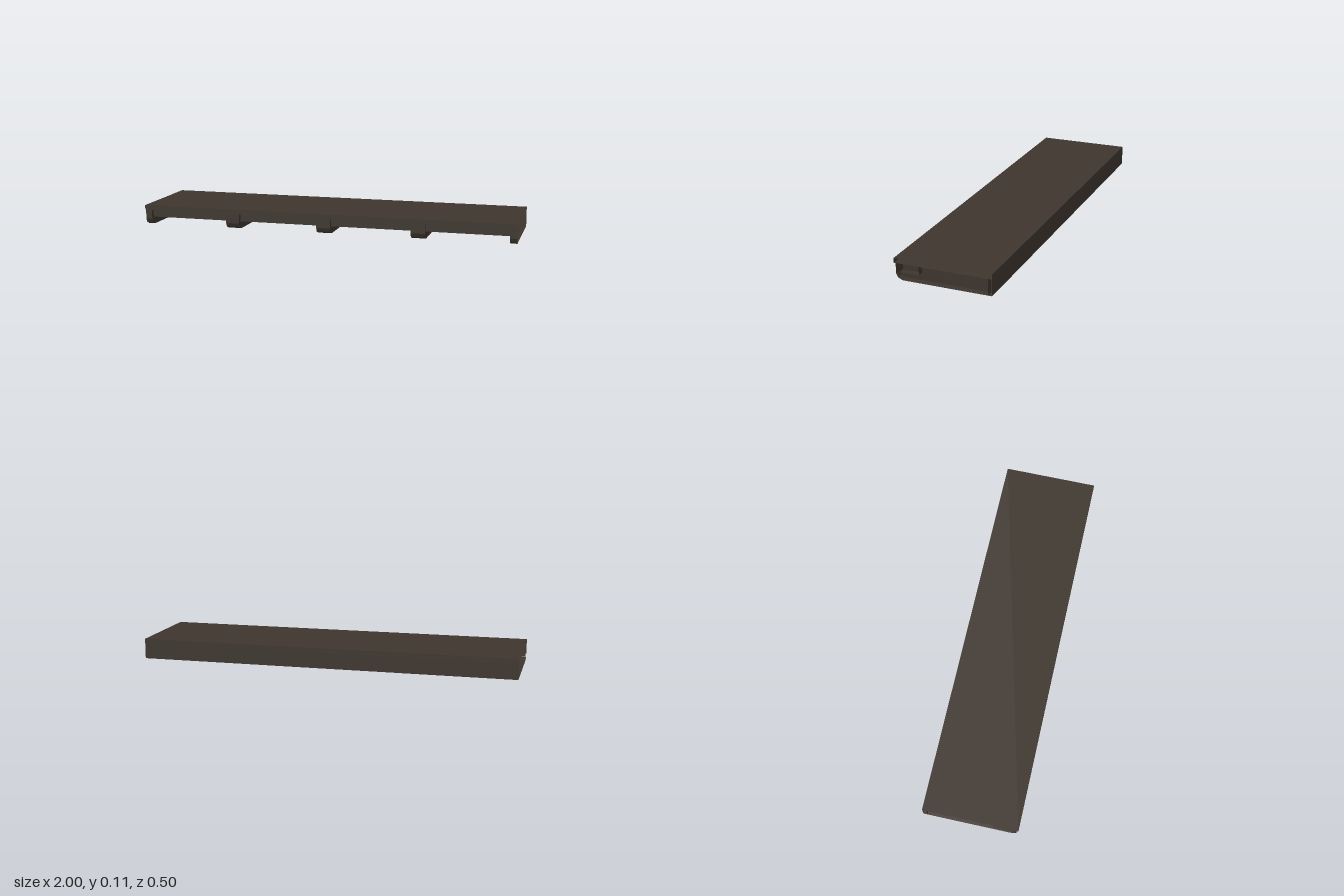
import * as THREE from 'three';

const brown = new THREE.MeshStandardMaterial({ color: 0x3d352d, side: THREE.DoubleSide });
brown.name = 'darkBrown';

// Drops the faces lying on the end planes, so the section can join its neighbour
function openEnds(geometry) {
  const geo = geometry.index ? geometry.toNonIndexed() : geometry;
  const p = geo.attributes.position;
  const n = geo.attributes.normal;
  const pos = [];
  const nor = [];
  for (let i = 0; i < p.count; i += 3) {
    const onEnd = [0, 1, 2].every((k) => Math.abs(p.getX(i + k)) > 0.999)
      && Math.abs(n.getX(i)) > 0.9;
    if (onEnd) continue;
    for (let k = i; k < i + 3; k++) {
      pos.push(p.getX(k), p.getY(k), p.getZ(k));
      nor.push(n.getX(k), n.getY(k), n.getZ(k));
    }
  }
  const out = new THREE.BufferGeometry();
  out.setAttribute('position', new THREE.Float32BufferAttribute(pos, 3));
  out.setAttribute('normal', new THREE.Float32BufferAttribute(nor, 3));
  return out;
}

export function createModel() {
  const group = new THREE.Group();

  const add = (name, geometry) => {
    const mesh = new THREE.Mesh(openEnds(geometry), brown);
    mesh.name = name;
    group.add(mesh);
  };

  // Box given by its lower and upper limits on each axis
  const box = (name, x0, x1, y0, y1, z0, z1) => {
    const geo = new THREE.BoxGeometry(x1 - x0, y1 - y0, z1 - z0);
    geo.translate((x0 + x1) / 2, (y0 + y1) / 2, (z0 + z1) / 2);
    add(name, geo);
  };

  // Deck, back wall and front beam run the full length
  box('deck', -1, 1, 0.083, 0.107, -0.25, 0.25);
  box('backWall', -1, 1, 0, 0.083, -0.25, -0.23);
  box('frontBeam', -1, 1, 0.04, 0.083, 0.12, 0.22);

  // Cross joists with a chamfered nose; the end ones are half width
  const profile = new THREE.Shape([
    [-0.25, 0], [0.205, 0], [0.23, 0.011], [0.24, 0.031], [0.24, 0.083], [-0.25, 0.083],
  ].map(([z, y]) => new THREE.Vector2(z, y)));
  const joists = [[-1, -0.965], [-0.537, -0.463], [-0.037, 0.037], [0.463, 0.537], [0.965, 1]];
  for (const [x0, x1] of joists) {
    const geo = new THREE.ExtrudeGeometry(profile, { depth: x1 - x0, bevelEnabled: false });
    geo.rotateY(-Math.PI / 2);
    geo.translate(x1, 0, 0);
    add('joist', geo);
  }

  // Shallow slats under the deck, five in each bay
  for (let bay = 0; bay < 4; bay++) {
    for (let i = -2; i <= 2; i++) {
      const x = -0.75 + bay * 0.5 + i * 0.08;
      box('slat', x - 0.018, x + 0.018, 0.055, 0.083, -0.23, 0.12);
    }
  }
  return group;
}
